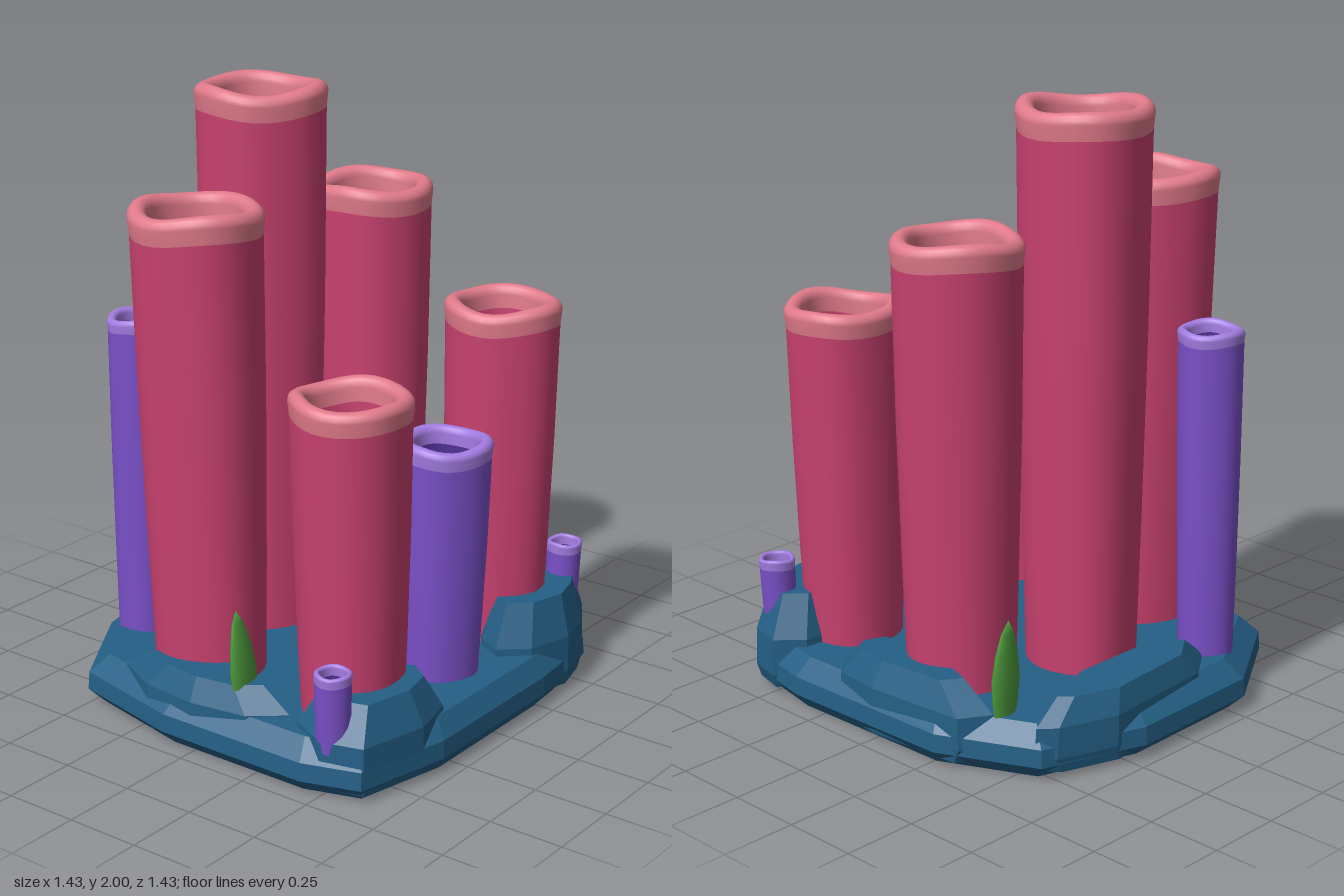
import * as THREE from 'three';
import { mergeVertices } from 'three/addons/utils/BufferGeometryUtils.js';

const mat = (name, color, extra = {}) => Object.assign(new THREE.MeshStandardMaterial({ color, ...extra }), { name });

// Stone block: an outline (x, z; clockwise seen from above) stacked in scaled rings [y, scale]
function stone(outline, rings) {
  const pts = outline.slice().reverse();
  const n = pts.length;
  const cx = pts.reduce((s, p) => s + p[0], 0) / n;
  const cz = pts.reduce((s, p) => s + p[1], 0) / n;
  const pos = [], index = [];
  for (const [y, s] of rings) for (const [x, z] of pts) pos.push(cx + (x - cx) * s, y, cz + (z - cz) * s);
  const last = (rings.length - 1) * n;
  const bottom = pos.length / 3, top = bottom + 1;
  pos.push(cx, rings[0][0], cz, cx, rings[rings.length - 1][0], cz);
  for (let i = 0; i < n; i++) {
    const j = (i + 1) % n;
    for (let r = 0; r < last; r += n) index.push(r + i, r + j, r + n + i, r + j, r + n + j, r + n + i);
    index.push(bottom, j, i, top, last + i, last + j);
  }
  const g = new THREE.BufferGeometry();
  g.setAttribute('position', new THREE.Float32BufferAttribute(pos, 3));
  g.setIndex(index);
  g.computeVertexNormals();
  return g;
}

// Turned profile, bent and made slightly uneven by a rule, with a seamless smooth surface
function organicLathe(profile, segments, rule) {
  let g = new THREE.LatheGeometry(profile.map(([x, y]) => new THREE.Vector2(x, y)), segments);
  const p = g.attributes.position, v = new THREE.Vector3();
  for (let i = 0; i < p.count; i++) {
    v.fromBufferAttribute(p, i);
    rule(v, Math.atan2(v.x, v.z));
    p.setXYZ(i, v.x, v.y, v.z);
  }
  g.deleteAttribute('uv');
  g.deleteAttribute('normal');
  g = mergeVertices(g, 1e-5);
  g.computeVertexNormals();
  return g;
}

export function createModel() {
  const model = new THREE.Group();
  model.name = 'tubeSpongeCluster';
  const rock = mat('blue rock', 0x245f85, { flatShading: true });
  const pink = { body: mat('pink sponge', 0xc8416f), rim: mat('light pink rim', 0xe07a8a) };
  pink.inner = pink.body;
  const purple = {
    body: mat('purple sponge', 0x7a50c8), rim: mat('light purple rim', 0xa27be0),
    inner: mat('dark purple inside', 0x502f94),
  };
  const green = mat('green blade', 0x4e9a3c);

  const add = (parent, name, geometry, material) => {
    const m = new THREE.Mesh(geometry, material);
    m.name = name;
    parent.add(m);
  };

  // Base slab
  add(model, 'baseSlab', stone([
    [-0.29, -0.71], [0.2, -0.72], [0.55, -0.6], [0.7, -0.28], [0.715, 0.35], [0.67, 0.57], [0.6, 0.65], [0.4, 0.7],
    [0.25, 0.715], [-0.33, 0.715], [-0.66, 0.64], [-0.72, 0.45], [-0.72, -0.1], [-0.63, -0.5],
  ], [[0, 0.94], [0.05, 1], [0.11, 0.995], [0.17, 0.92]]), rock);

  // Boulders on the slab: name, height, top scale, outline
  const boulders = [
    ['frontRightBoulder', 0.295, 0.68, [[-0.69, 0.5], [-0.62, 0.36], [-0.36, 0.36], [-0.25, 0.45], [-0.18, 0.56],
      [-0.25, 0.66], [-0.41, 0.695], [-0.65, 0.64]]],
    ['frontLeftBoulder', 0.335, 0.74, [[0.17, 0.57], [0.22, 0.48], [0.35, 0.38], [0.62, 0.4], [0.7, 0.48],
      [0.67, 0.6], [0.55, 0.67], [0.41, 0.705], [0.25, 0.66]]],
    ['backBoulder', 0.25, 0.75, [[-0.25, -0.57], [-0.12, -0.66], [0.3, -0.69], [0.5, -0.62], [0.55, -0.57],
      [0.3, -0.47], [-0.18, -0.47]]],
    ['leftBoulder', 0.265, 0.66, [[0.57, -0.42], [0.67, -0.36], [0.7, 0], [0.68, 0.17], [0.6, 0.24],
      [0.5, 0.2], [0.47, 0.05], [0.5, -0.2]]],
    ['rightBoulder', 0.25, 0.66, [[-0.6, -0.36], [-0.52, -0.2], [-0.48, 0], [-0.52, 0.2], [-0.58, 0.31],
      [-0.67, 0.2], [-0.7, 0], [-0.68, -0.2]]],
  ];
  for (const [name, h, s, outline] of boulders) {
    add(model, name, stone(outline, [[0.02, 0.93], [0.07, 1], [0.11 + h * 0.25, 0.98], [h, s]]), rock);
  }

  // Hollow sponge tube leaning from its foot to its mouth
  function tube(name, colors, [x0, z0], [x1, z1], r, h, phase) {
    const g = new THREE.Group();
    g.name = name;
    const big = r > 0.1;
    const band = big ? Math.min(0.085, r * 0.4) : 0.035;
    const w = r * 0.29;
    const y0 = 0.1, yb = h - band;
    const depth = Math.min(0.35, h * 0.45);
    const rule = (v, a) => {
      const t = (v.y - y0) / (h - y0);
      const k = 1 + 0.022 * Math.sin(3 * a + phase) + 0.012 * Math.sin(5 * a + phase * 2);
      v.x = v.x * k + x0 + (x1 - x0) * t;
      v.z = v.z * k + z0 + (z1 - z0) * t;
      v.y += r * 0.035 * t ** 4 * (Math.sin(3 * a + phase * 1.7) + 0.6 * Math.sin(2 * a + phase) - 1);
    };
    const seg = big ? 32 : 16;
    add(g, 'tubeWall', organicLathe([[r * 0.83, y0], [r * 0.89, y0 + (yb - y0) * 0.3],
      [r * 0.945, y0 + (yb - y0) * 0.65], [r * 0.975, yb]], seg, rule), colors.body);
    // rounded lip
    const lip = [[r * 0.975, yb]];
    for (let i = 0; i <= 8; i++) {
      const a = Math.PI * i / 8;
      lip.push([r - w / 2 + Math.cos(a) * w / 2, h - w * 0.55 + Math.sin(a) * w * 0.55]);
    }
    lip.push([r * 0.7, yb]);
    add(g, 'tubeRim', organicLathe(lip, seg, rule), colors.rim);
    add(g, 'tubeInside', organicLathe([[r * 0.7, yb], [r * 0.66, h - depth * 0.75], [r * 0.52, h - depth * 0.95],
      [0, h - depth]], seg, rule), colors.inner);
    model.add(g);
  }
  tube('tallBackSponge', pink, [0.025, -0.275], [0.04, -0.29], 0.215, 2.0, 0.4);
  tube('rightBackSponge', pink, [-0.42, -0.14], [-0.44, -0.16], 0.212, 1.71, 2.1);
  tube('leftBackSponge', pink, [0.41, -0.11], [0.435, -0.13], 0.206, 1.63, 3.6);
  tube('rightFrontSponge', pink, [-0.405, 0.415], [-0.415, 0.41], 0.192, 1.21, 5.0);
  tube('leftFrontSponge', pink, [0.395, 0.415], [0.417, 0.41], 0.192, 1.315, 1.2);
  tube('frontPurpleSponge', purple, [0, 0.46], [0, 0.475], 0.15, 0.965, 0.2);
  tube('backPurpleSponge', purple, [-0.3, -0.53], [-0.305, -0.52], 0.108, 1.26, 2.7);
  tube('smallRightSponge', purple, [-0.63, 0.51], [-0.635, 0.515], 0.06, 0.405, 1);
  tube('smallLeftSponge', purple, [0.59, 0.555], [0.602, 0.56], 0.06, 0.445, 4);

  // Flat pointed sea-grass blades: foot x, z, tip height, lean in x and z
  const blades = [
    [-0.595, 0.14, 0.49, -0.02, -0.02], [0.155, 0.175, 0.445, 0.025, -0.008], [0.525, -0.42, 0.49, 0.01, -0.025],
  ];
  for (const [x, z, h, lx, lz] of blades) {
    const H = h - 0.12;
    const profile = [[0.036, 0], [0.052, 0.25], [0.058, 0.45], [0.046, 0.68], [0.026, 0.88], [0, 1]];
    add(model, 'grassBlade', organicLathe(profile, 12, (v) => {
      const t = v.y;
      v.set(x + v.x + lx * t * t, 0.12 + t * H, z + v.z * 0.42 + lz * t * t);
    }), green);
  }
  return model;
}
